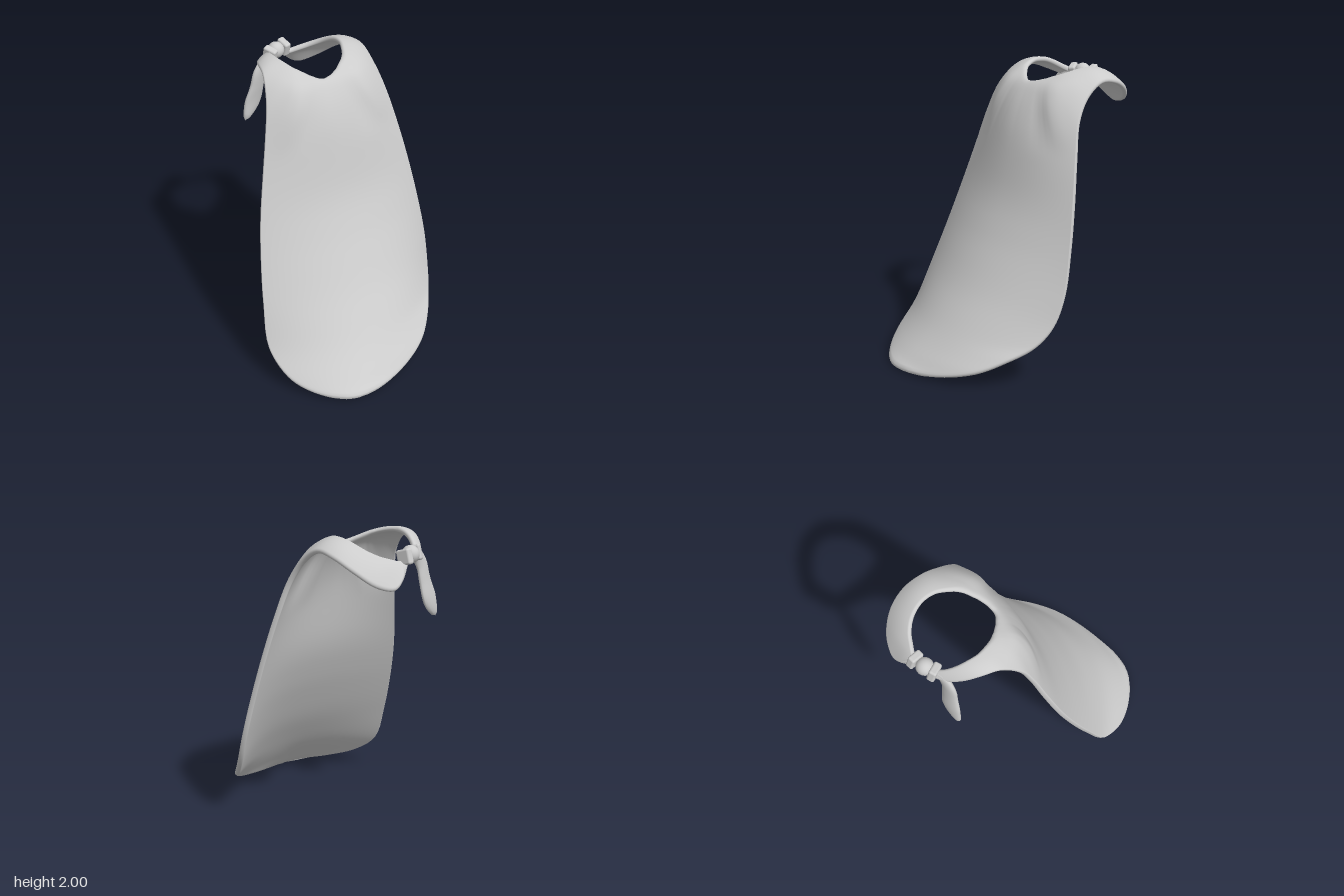
import * as THREE from 'three';
import { RoundedBoxGeometry } from 'three/addons/geometries/RoundedBoxGeometry.js';

const V = (x, y, z) => new THREE.Vector3(x, y, z);
const { clamp, lerp, smoothstep } = THREE.MathUtils;

// Skin a list of closed rings (each a list of Vector3) into a smooth tube
function loft(rings) {
  const n = rings[0].length, index = [];
  for (let i = 0; i < rings.length - 1; i++) {
    for (let k = 0; k < n; k++) {
      const k2 = (k + 1) % n;
      const a = i * n + k, b = a + n, c = i * n + k2, d = c + n;
      index.push(a, b, c, b, d, c);
    }
  }
  const g = new THREE.BufferGeometry().setFromPoints(rings.flat());
  g.setIndex(index);
  g.computeVertexNormals();
  return g;
}

// Find the parameter between high and low where a falling function reaches a value
function solve(f, value, high, low) {
  for (let i = 0; i < 24; i++) {
    const mid = (high + low) / 2;
    if (f(mid) > value) high = mid; else low = mid;
  }
  return (high + low) / 2;
}

// Centre-line height at z = -0.8 to 0.8 in steps of 0.1
const heights = [1.76, 1.85, 1.92, 1.97, 1.985, 1.97, 1.93, 1.845, 1.62,
  1.18, 0.92, 0.72, 0.54, 0.39, 0.25, 0.13, 0.03];
const profile = new THREE.SplineCurve(heights.map((h, i) => new THREE.Vector2(-0.8 + i * 0.1, h)));
const heightAt = z => profile.getPoint(clamp((z + 0.8) / 1.6, 0, 1)).y;
const centreZ = y => solve(heightAt, y, -0.4, 0.8);

// Outer hem, from one strap end round the front to the other (x, y, z)
const outerHem = [
  [0.05, 1.85, -0.74], [0.12, 1.76, -0.78], [0.2, 1.71, -0.79], [0.32, 1.74, -0.75],
  [0.42, 1.83, -0.65], [0.465, 1.9, -0.52], [0.47, 1.92, -0.38], [0.475, 1.84, -0.25],
  [0.5, 1.7, -0.15], [0.55, 1.48, -0.08], [0.605, 1.2, -0.01], [0.65, 0.9, 0.06],
  [0.675, 0.62, 0.13], [0.655, 0.42, 0.21], [0.6, 0.29, 0.32], [0.5, 0.2, 0.47],
  [0.35, 0.11, 0.62], [0.1, 0.04, 0.74], [-0.18, 0.012, 0.79], [-0.4, 0.017, 0.74],
  [-0.55, 0.05, 0.62], [-0.64, 0.11, 0.48], [-0.68, 0.25, 0.3], [-0.645, 0.53, 0.17],
  [-0.595, 0.82, 0.06], [-0.545, 1.07, -0.02], [-0.47, 1.38, -0.1], [-0.41, 1.63, -0.16],
  [-0.365, 1.8, -0.22], [-0.32, 1.93, -0.34], [-0.29, 1.94, -0.45], [-0.24, 1.9, -0.55],
  [-0.17, 1.86, -0.63], [-0.1, 1.85, -0.68]];

// Neck opening, matched point for point with the hem (x, z)
const neckHem = [
  [0.05, -0.69], [0.09, -0.69], [0.14, -0.67], [0.2, -0.64], [0.26, -0.58], [0.295, -0.49],
  [0.295, -0.4], [0.27, -0.33], [0.245, -0.28], [0.225, -0.255], [0.205, -0.235], [0.185, -0.22],
  [0.165, -0.205], [0.145, -0.19], [0.125, -0.18], [0.105, -0.17], [0.08, -0.16], [0.055, -0.155],
  [0.025, -0.15], [0, -0.155], [-0.02, -0.165], [-0.04, -0.18], [-0.06, -0.195], [-0.08, -0.215],
  [-0.1, -0.235], [-0.115, -0.255], [-0.13, -0.275], [-0.145, -0.305], [-0.16, -0.345],
  [-0.175, -0.41], [-0.17, -0.48], [-0.155, -0.54], [-0.125, -0.6], [-0.09, -0.64]];

const outer = new THREE.CatmullRomCurve3(outerHem.map(p => V(...p)));
const inner = new THREE.CatmullRomCurve3(neckHem.map(([x, z]) => V(x, heightAt(z), z)));

// Point of the hem at a given height, on the right half (from = 7) or left half (from = 29)
const hemAt = (y, from) =>
  outer.getPoint(solve(t => outer.getPoint(t).y, y, from / 33, 18 / 33));

// Strap: a ray in plan whose height droops towards the hem
function strapPoint(c, o, s) {
  const p = c.clone().lerp(o, s);
  p.y = heightAt(p.z) - (heightAt(o.z) - o.y) * Math.pow(s, 2.2);
  return p;
}

// Front panel: level sections bowed evenly back from the centre line to both hems
function panelPoint(c, o, s) {
  const p = c.clone().lerp(o, s);
  const z = centreZ(p.y);
  const a = hemAt(p.y, 29), b = hemAt(p.y, 7);
  const v = clamp((2 * p.x - a.x - b.x) / Math.max(0.02, b.x - a.x), -1, 1);
  const bow = (z - (v > 0 ? b : a).z) * v * v;
  const collar = (centreZ(o.y) - o.z) * Math.pow(s, 1.2);
  p.z = z - lerp(bow, collar, smoothstep(p.y, 1.45, 1.84));
  return p;
}

// Cloth sheet: rays from neck to hem, thickened with a rounded rim
function clothGeometry() {
  const rays = 165, n = 52, half = 0.018;
  const across = [], grid = [];
  for (let j = 0; j <= n; j++) across.push(0.5 - 0.5 * Math.cos(Math.PI * j / n));
  for (let i = 0; i <= rays; i++) {
    const t = i / rays, o = outer.getPoint(t), c = inner.getPoint(t);
    const panel = smoothstep(t * 33, 5.5, 9) * (1 - smoothstep(t * 33, 26.5, 30));
    grid.push(across.map(s => {
      if (panel === 0) return strapPoint(c, o, s);
      return strapPoint(c, o, s).lerp(panelPoint(c, o, s), panel);
    }));
  }
  const at = (i, j) => grid[clamp(i, 0, rays)][clamp(j, 0, n)];
  const rings = grid.map((row, i) => {
    const top = [], under = [], length = row[0].distanceTo(row[n]);
    row.forEach((p, j) => {
      const normal = at(i + 1, j).clone().sub(at(i - 1, j))
        .cross(at(i, j + 1).clone().sub(at(i, j - 1))).normalize();
      const rim = Math.min(1, Math.min(across[j], 1 - across[j]) * length / half);
      const h = half * Math.sqrt(1 - (1 - rim) ** 2);
      top.push(p.clone().addScaledVector(normal, h));
      if (j > 0 && j < n) under.unshift(p.clone().addScaledVector(normal, -h));
    });
    return [...top, ...under];
  });
  return loft(rings);
}

// Hanging loose end: flattened oval sections along a drooping path
function tailGeometry() {
  const path = new THREE.CatmullRomCurve3([
    V(-0.08, 1.87, -0.66), V(-0.14, 1.855, -0.635), V(-0.19, 1.79, -0.63),
    V(-0.21, 1.69, -0.64), V(-0.24, 1.57, -0.655), V(-0.305, 1.44, -0.65)]);
  const widths = new THREE.SplineCurve([0.035, 0.048, 0.056, 0.062, 0.072, 0.035]
    .map((w, i) => new THREE.Vector2(i, w)));
  const facing = V(0.3, 0, 1).normalize();
  const rings = [], steps = 30, sides = 16;
  for (let i = 0; i <= steps; i++) {
    const t = i / steps, c = path.getPoint(t);
    const side = facing.clone().cross(path.getTangent(t)).normalize();
    const close = Math.sqrt(1 - Math.pow(t, 20));
    const w = widths.getPoint(t).y * close, d = 0.024 * close;
    const ring = [];
    for (let k = 0; k < sides; k++) {
      const a = k / sides * Math.PI * 2;
      ring.push(c.clone().addScaledVector(side, w * Math.cos(a))
        .addScaledVector(facing, -d * Math.sin(a)));
    }
    rings.push(ring);
  }
  return loft(rings);
}

export function createModel() {
  const model = new THREE.Group();
  model.name = 'bib';
  const fabric = new THREE.MeshStandardMaterial({ color: 0xcccccc });
  fabric.name = 'light grey fabric';

  const add = (name, geometry, parent = model) => {
    const mesh = new THREE.Mesh(geometry, fabric);
    mesh.name = name;
    parent.add(mesh);
    return mesh;
  };

  add('cloth', clothGeometry());

  // Knot: a round centre between two wrapped bands
  const knot = new THREE.Group();
  knot.name = 'knot';
  model.add(knot);
  add('knotCentre', new THREE.SphereGeometry(0.057, 24, 16), knot).position.set(-0.028, 1.89, -0.69);
  for (const [x, y, z, turn] of [[0.045, 1.885, -0.715, 0.2], [-0.088, 1.885, -0.662, 0.5]]) {
    const band = add('knotBand', new RoundedBoxGeometry(0.052, 0.1, 0.095, 4, 0.014), knot);
    band.position.set(x, y, z);
    band.rotation.set(0.3, turn, 0);
  }

  add('looseEnd', tailGeometry());
  return model;
}
